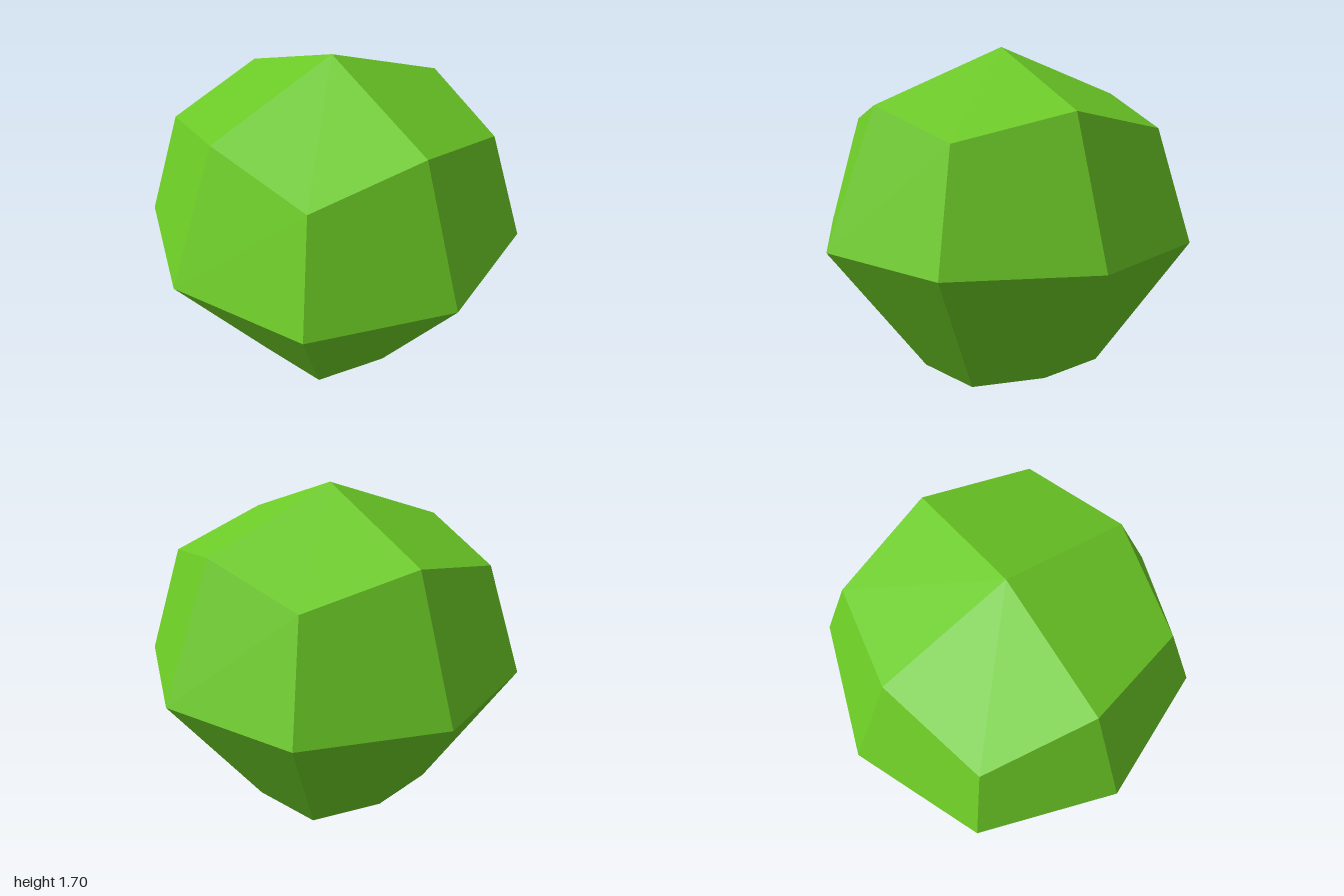
import * as THREE from 'three';

const MID = 0.725;      // edge-midpoint offset of the rounded block
const CORNER = 0.595;   // corner offset
const FLOOR = 0.7;      // height of the widest ring above the flat base
const TAPER = 0.647;    // narrowing of the base

// Point of a faceted ball: signs picks the octant, axes lists the directions used
function point(signs, axes) {
  const r = [0, 1, MID, CORNER][axes.length];
  const p = [0, 0, 0];
  for (const a of axes) p[a] = signs[a] * r;
  if (p[1] < 0) {       // lower points are pressed onto the flat base
    p[0] *= TAPER;
    p[1] = -FLOOR;
    p[2] *= TAPER;
  }
  return new THREE.Vector3(p[0], p[1] + FLOOR, p[2]);
}

// Three four-sided facets in each of the eight octants
function facetedBall() {
  const positions = [], normals = [];
  for (const sx of [1, -1]) for (const sy of [1, -1]) for (const sz of [1, -1]) {
    const signs = [sx, sy, sz];
    for (let i = 0; i < 3; i++) {
      const j = (i + 1) % 3, k = (i + 2) % 3;
      const q = [[i], [i, j], [i, j, k], [i, k]].map((axes) => point(signs, axes));
      if (sx * sy * sz < 0) [q[1], q[3]] = [q[3], q[1]];
      // one flat normal for the whole facet
      const n = q[2].clone().sub(q[0]).cross(q[3].clone().sub(q[1])).normalize();
      for (const c of [0, 1, 2, 0, 2, 3]) {
        positions.push(...q[c].toArray());
        normals.push(...n.toArray());
      }
    }
  }
  const geometry = new THREE.BufferGeometry();
  geometry.setAttribute('position', new THREE.Float32BufferAttribute(positions, 3));
  geometry.setAttribute('normal', new THREE.Float32BufferAttribute(normals, 3));
  return geometry;
}

export function createModel() {
  const leafGreen = new THREE.MeshStandardMaterial({ color: 0x6ccb26 });
  leafGreen.name = 'leafGreen';

  const bush = new THREE.Mesh(facetedBall(), leafGreen);
  bush.name = 'bush';

  const model = new THREE.Group();
  model.name = 'roundBush';
  model.add(bush);
  return model;
}
